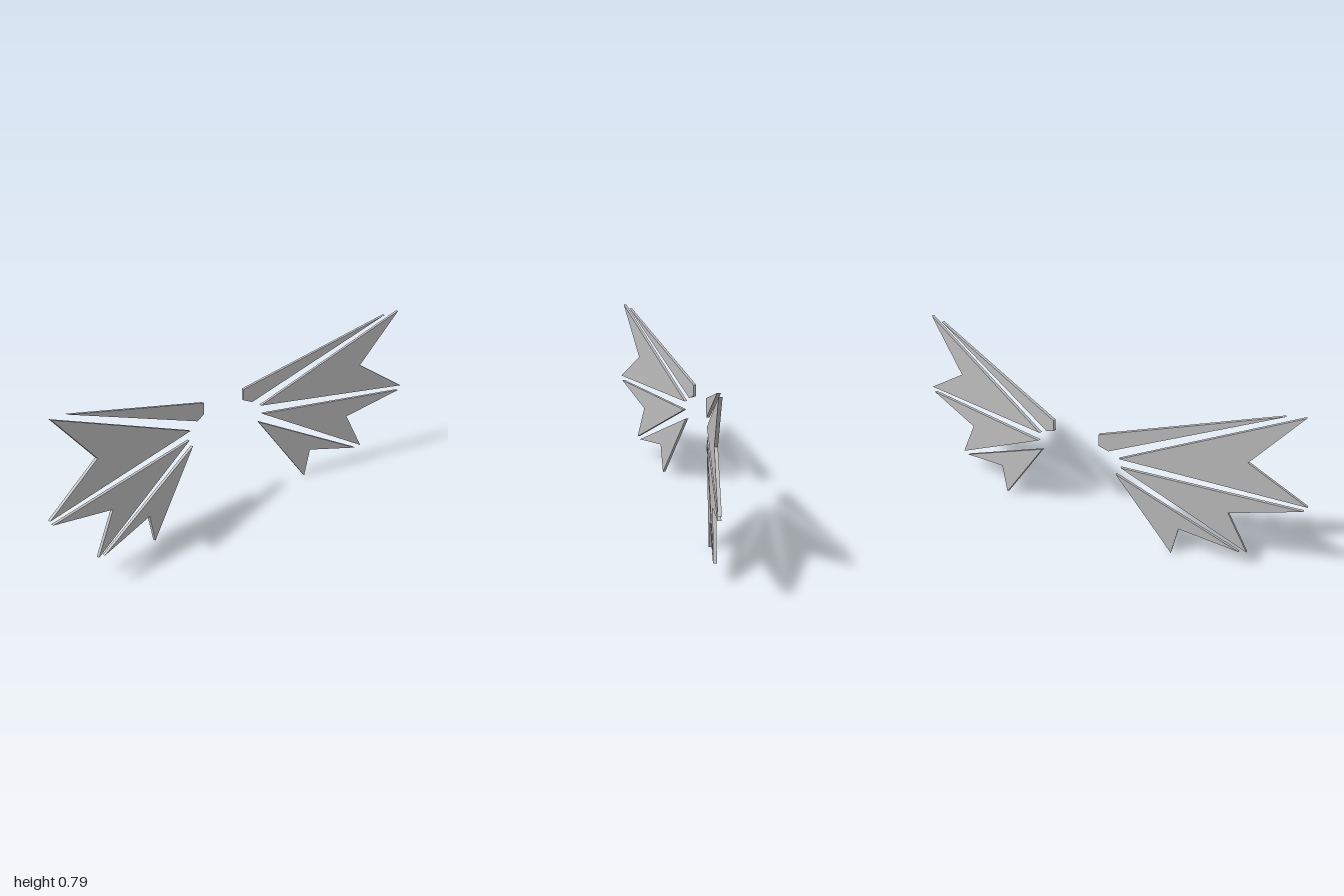
import * as THREE from 'three';

const SWEEP = 0.2146;   // forward angle of each wing
const PIVOT = 0.555;    // x where the wing plane crosses z = 0
const THICK = 0.0138;

// Outlines of the feather plates as [x, y], left wing
const feathers = {
  topFeather: [[0.115, 0.548], [0.115, 0.494], [0.16, 0.475], [0.865, 0.784]],
  upperFeather: [[0.942, 0.792], [0.743, 0.546], [0.997, 0.386], [0.206, 0.446]],
  lowerFeather: [[0.984, 0.362], [0.685, 0.281], [0.78, 0.095], [0.215, 0.402]],
  bottomFeather: [[0.194, 0.364], [0.748, 0.088], [0.482, 0.143], [0.455, 0.002]],
};

export function createModel() {
  const model = new THREE.Group();
  model.name = 'wings';
  const grey = new THREE.MeshStandardMaterial({ color: 0xbcbcbc });
  grey.name = 'grey';

  for (const side of [1, -1]) {
    const wing = new THREE.Group();
    wing.name = side > 0 ? 'leftWing' : 'rightWing';
    for (const [name, outline] of Object.entries(feathers)) {
      // Lay the outline in the wing plane, measured from the pivot
      const points = outline.map(([x, y]) =>
        new THREE.Vector2(side * (x - PIVOT) / Math.cos(SWEEP), y));
      const plate = new THREE.ExtrudeGeometry(new THREE.Shape(points),
        { depth: THICK, bevelEnabled: false });
      plate.translate(0, 0, -THICK / 2);
      const mesh = new THREE.Mesh(plate, grey);
      mesh.name = name;
      wing.add(mesh);
    }
    wing.position.x = side * PIVOT;
    wing.rotation.y = -side * SWEEP;
    model.add(wing);
  }
  return model;
}
